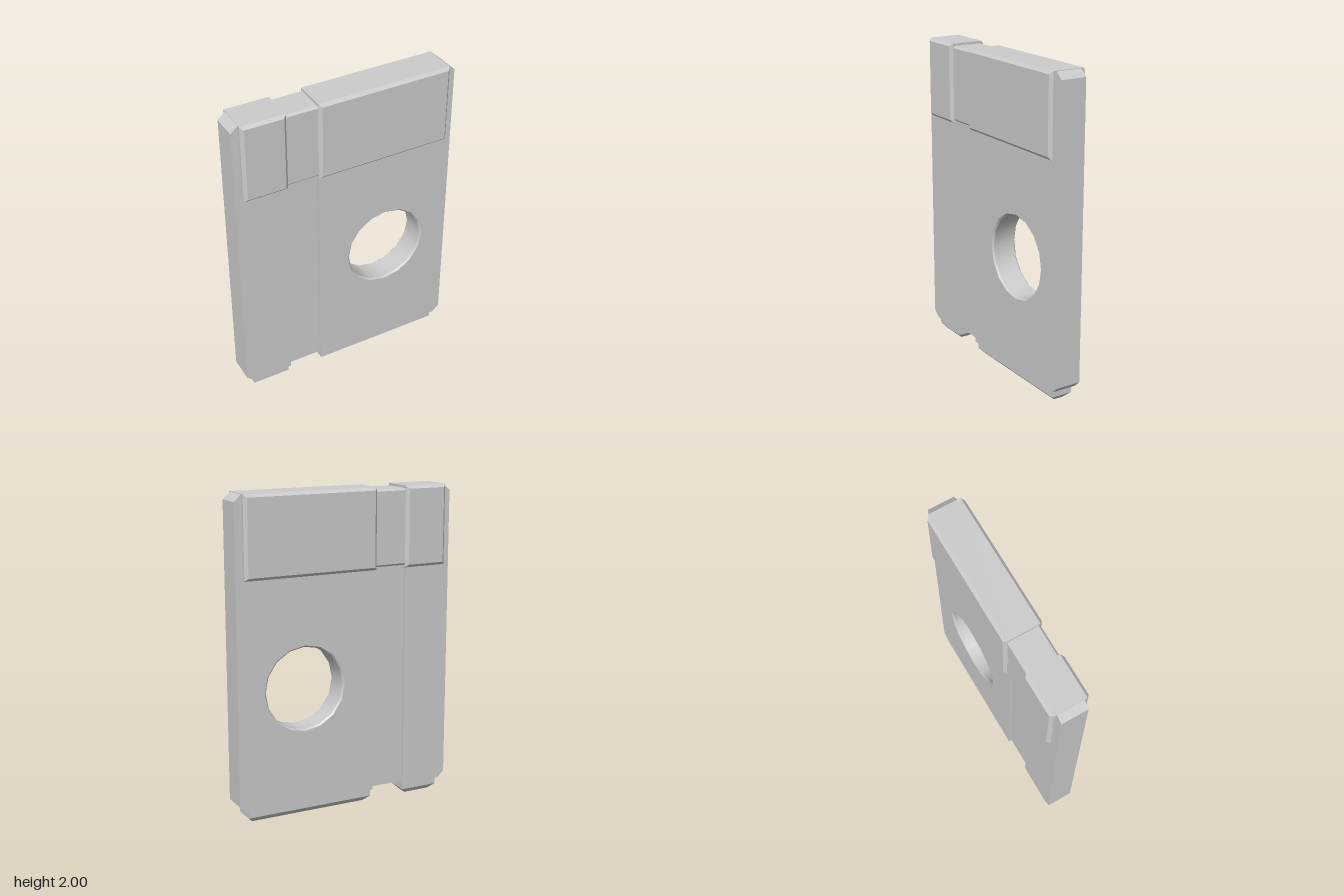
import * as THREE from 'three';
import { toCreasedNormals } from 'three/addons/utils/BufferGeometryUtils.js';

const HOLE = { x: 0.28, y: 0.81, r: 0.268, sides: 16 };
const BODY_Z = 0.083;

export function createModel() {
  const model = new THREE.Group();
  const material = new THREE.MeshStandardMaterial({ color: 0xcccccc });

  const add = (name, geometry) => {
    const mesh = new THREE.Mesh(geometry, material);
    mesh.name = name;
    model.add(mesh);
    return mesh;
  };
  const polygon = (points) => new THREE.Shape(points.map(([x, y]) => new THREE.Vector2(x, y)));
  const rect = (x0, x1, y0, y1) => polygon([[x0, y0], [x1, y0], [x1, y1], [x0, y1]]);

  // Slab centred on z = 0 with flat edges
  const slab = (shape, halfZ) =>
    new THREE.ExtrudeGeometry(shape, { depth: 2 * halfZ, bevelEnabled: false }).translate(0, 0, -halfZ);

  // Block with chamfered rims on both faces, centred on z = 0
  const chamferBlock = (x0, x1, y0, y1, halfZ, bevel) =>
    new THREE.ExtrudeGeometry(rect(x0, x1, y0, y1), {
      depth: 2 * (halfZ - bevel), bevelEnabled: true, bevelSegments: 1,
      bevelSize: bevel, bevelOffset: -bevel, bevelThickness: bevel,
    }).translate(0, 0, bevel - halfZ);

  // Body panels on either side of the groove, outer corners cut off
  const top = 1.997, bottom = 0.08;
  add('leftOfGroovePanel', slab(polygon([
    [-0.41, bottom], [-0.41, top], [-0.675, top], [-0.72, 1.957], [-0.72, 0.122], [-0.675, bottom],
  ]), BODY_Z));

  const mainShape = polygon([
    [-0.19, bottom], [0.675, bottom], [0.72, 0.122], [0.72, 1.957], [0.675, top], [-0.19, top],
  ]);
  const holePoints = [];
  for (let i = 0; i < HOLE.sides; i++) {
    const a = -i / HOLE.sides * Math.PI * 2;
    holePoints.push(new THREE.Vector2(HOLE.x + HOLE.r * Math.cos(a), HOLE.y + HOLE.r * Math.sin(a)));
  }
  mainShape.holes.push(new THREE.Path(holePoints));
  add('mainPanel', slab(mainShape, BODY_Z));

  // Lining of the round hole with chamfered rims
  const c = 0.01;
  const lining = new THREE.LatheGeometry([
    new THREE.Vector2(HOLE.r, BODY_Z), new THREE.Vector2(HOLE.r - c, BODY_Z - c),
    new THREE.Vector2(HOLE.r - c, c - BODY_Z), new THREE.Vector2(HOLE.r, -BODY_Z),
  ], HOLE.sides).rotateX(Math.PI / 2);
  add('holeLining', toCreasedNormals(lining, 0.5)).position.set(HOLE.x, HOLE.y, 0);

  // Recessed strip along the groove
  add('grooveStrip', slab(rect(-0.41, -0.19, 0.095, 1.97), 0.065));

  // Thick band around the top, stepped in at the groove
  add('bandShort', chamferBlock(-0.675, -0.395, 1.5, 2, 0.12, 0.018));
  add('bandRecess', chamferBlock(-0.42, -0.165, 1.515, 1.985, 0.102, 0.012));
  add('bandLong', chamferBlock(-0.195, 0.672, 1.5, 2, 0.12, 0.018));

  // Feet tapering towards the ground
  for (const [name, x0, x1] of [['shortFoot', -0.665, -0.42], ['longFoot', -0.18, 0.66]]) {
    const bevel = 0.036;
    const foot = new THREE.ExtrudeGeometry(rect(x0, x1, -0.068, 0.068), {
      depth: 0.048, bevelEnabled: true, bevelSegments: 1,
      bevelSize: bevel, bevelOffset: -bevel, bevelThickness: bevel,
    });
    add(name, foot.rotateX(-Math.PI / 2).translate(0, bevel, 0));
  }

  return model;
}
